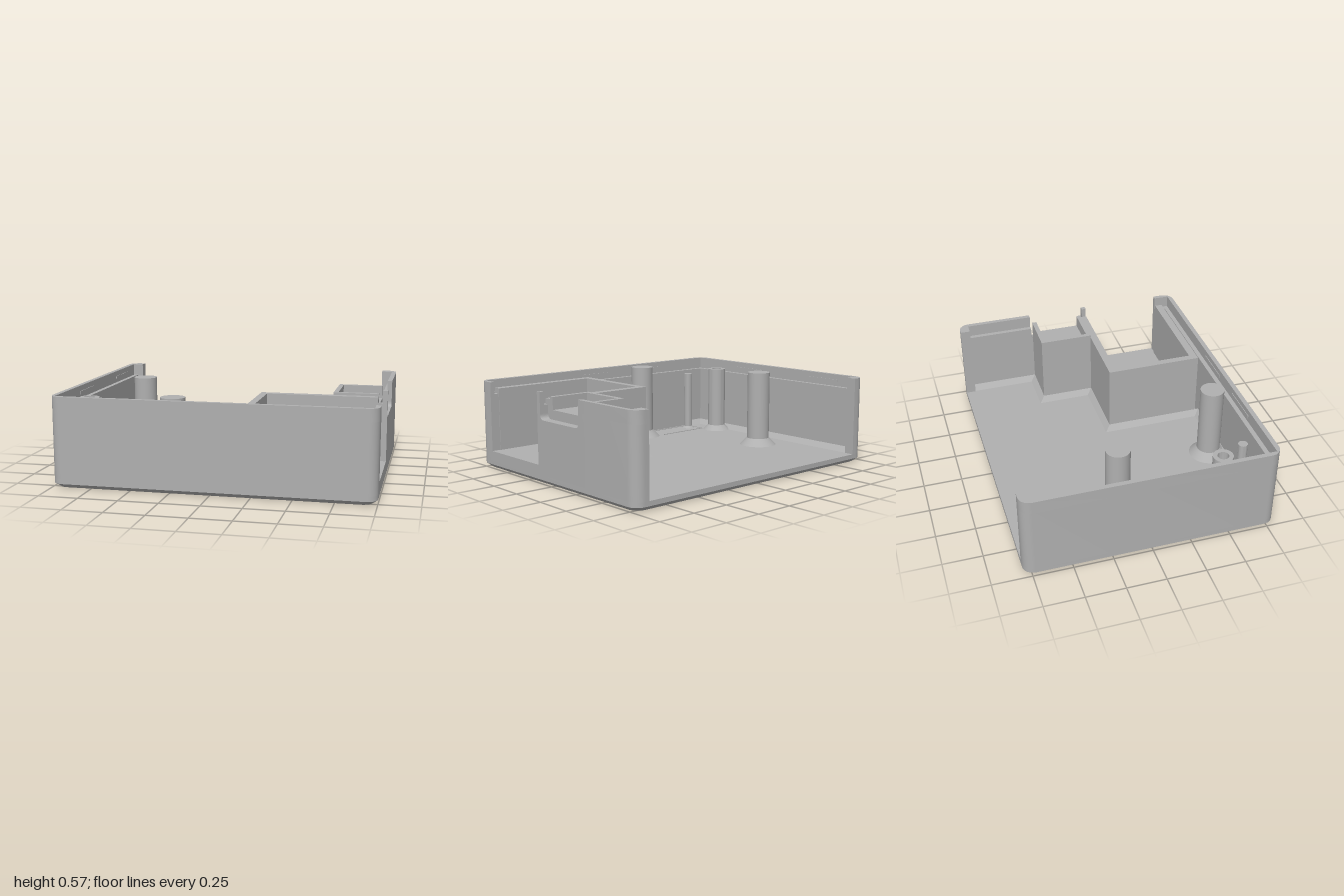
import * as THREE from 'three';
import { toCreasedNormals } from 'three/addons/utils/BufferGeometryUtils.js';

const FLOOR = 0.055, LEDGE = 0.49, TOP = 0.57;
const LIP = 0.03, WALL = 0.06, R = 0.07, CHAMFER = 0.035;

export function createModel() {
  const group = new THREE.Group();
  const plastic = new THREE.MeshStandardMaterial({ color: 0xb0b0b0, side: THREE.DoubleSide });
  plastic.name = 'grey plastic';

  const add = (name, geometry) => {
    const mesh = new THREE.Mesh(geometry, plastic);
    mesh.name = name;
    group.add(mesh);
    return mesh;
  };
  const box = (name, x0, x1, y0, y1, z0, z1) =>
    add(name, new THREE.BoxGeometry(x1 - x0, y1 - y0, z1 - z0))
      .position.set((x0 + x1) / 2, (y0 + y1) / 2, (z0 + z1) / 2);

  // Plan outline from [x, z] points; a third value rounds that corner
  const outline = (points, Type = THREE.Shape) => {
    const shape = new Type();
    const n = points.length;
    points.forEach(([x, z, r], i) => {
      const p = new THREE.Vector2(x, -z);
      const toward = ([a, b]) => new THREE.Vector2(a, -b).sub(p).normalize().multiplyScalar(r || 0).add(p);
      const a = toward(points[(i + n - 1) % n]), b = toward(points[(i + 1) % n]);
      if (i === 0) shape.moveTo(a.x, a.y); else shape.lineTo(a.x, a.y);
      if (r) {
        // Circular arc sampled about the corner's centre
        const c = a.clone().add(b).sub(p);
        for (let k = 1; k <= 8; k++) {
          const t = (k / 8) * Math.PI / 2;
          const q = c.clone().addScaledVector(a.clone().sub(c), Math.cos(t)).addScaledVector(b.clone().sub(c), Math.sin(t));
          shape.lineTo(q.x, q.y);
        }
      }
    });
    shape.closePath();
    return shape;
  };
  const slab = (shape, y0, y1) =>
    new THREE.ExtrudeGeometry(shape, { depth: y1 - y0, bevelEnabled: false, curveSegments: 10 })
      .rotateX(-Math.PI / 2).translate(0, y0, 0);

  // Floor with chamfered underside, button slot and screw holes
  const base = outline([[-1, -0.8, R], [-1, 0.8, R], [1, 0.8, R], [1, -0.8, R]]);
  base.holes.push(outline([[-0.8, 0.555], [-0.4, 0.555], [-0.4, 0.573], [-0.785, 0.573],
    [-0.785, 0.713], [-0.4, 0.713], [-0.4, 0.73], [-0.8, 0.73]], THREE.Path));
  for (const [x, z, r] of [[-0.86, 0.475, 0.035], [-0.735, 0.66, 0.02]]) {
    base.holes.push(new THREE.Path().absarc(x, -z, r, 0, Math.PI * 2, true));
  }
  const lower = slab(base, 0, 0.025);
  const pos = lower.attributes.position;
  for (let i = 0; i < pos.count; i++) {
    const x = pos.getX(i), z = pos.getZ(i);
    if (pos.getY(i) < 0.01 && (Math.abs(x) > 0.92 || Math.abs(z) > 0.74)) {
      pos.setX(i, x * 0.972);
      pos.setZ(i, z * 0.965);
    }
  }
  add('floorChamfer', toCreasedNormals(lower, 0.5));
  add('floor', toCreasedNormals(slab(base, 0.025, FLOOR), 0.5));

  // Walls: thick below the ledge, thin lip above it
  for (const [label, t, y0, y1] of [['Wall', WALL, FLOOR, LEDGE], ['Lip', LIP, LEDGE, TOP]]) {
    add('frontAndRight' + label, toCreasedNormals(slab(outline([
      [-0.9, -0.8], [-1, -0.8, R], [-1, 0.8, R], [1, 0.8, R], [1, 0.67], [1 - t, 0.67],
      [1 - t, 0.8 - t], [-1 + t, 0.8 - t], [-1 + t, -0.735], [-0.9, -0.735]]), y0, y1), 0.5));
    add('leftBack' + label, toCreasedNormals(slab(outline([
      [0.9, -0.8], [1, -0.8, R], [1, -0.285], [1 - t, -0.285], [1 - t, -0.735], [0.9, -0.735]]), y0, y1), 0.5));
  }

  // Left wall section with the round-cornered connector port
  const portWall = (top, x0, x1) => {
    const s = new THREE.Shape();
    s.moveTo(-0.135, FLOOR);
    s.lineTo(-0.135, top);
    s.lineTo(-0.105, top);
    s.lineTo(-0.105, 0.435);
    s.quadraticCurveTo(-0.105, 0.4, -0.07, 0.4);
    s.lineTo(0.25, 0.4);
    s.quadraticCurveTo(0.285, 0.4, 0.285, 0.435);
    s.lineTo(0.285, FLOOR);
    s.closePath();
    add('connectorPortWall', new THREE.ExtrudeGeometry(s, { depth: x1 - x0, bevelEnabled: false })
      .rotateY(Math.PI / 2).translate(x0, 0, 0));
  };
  portWall(TOP, 1 - LIP, 1);
  portWall(LEDGE, 1 - WALL, 1 - LIP);

  // Snap strips on the inner face of the lip
  for (const z of [0.235, -0.465]) box('sideSnapStrip', -0.971, -0.966, 0.515, 0.535, z - 0.13, z + 0.13);
  for (const x of [0.05, -0.42]) box('frontSnapStrip', x - 0.13, x + 0.13, 0.515, 0.535, 0.766, 0.771);

  // Large compartment, open to the left side
  box('compartmentFloor', 0.18, 1, FLOOR, 0.115, 0.08, 0.715);
  box('compartmentSill', 0.94, 1, FLOOR, 0.115, 0.135, 0.67);
  box('compartmentInnerWall', 0.18, 0.225, FLOOR, 0.525, 0.08, 0.715);
  box('compartmentBackWall', 0.18, 0.94, FLOOR, 0.525, 0.08, 0.13);
  box('compartmentFrontWall', 0.18, 0.94, FLOOR, 0.525, 0.665, 0.715);

  // Connector tray: solid block with a raised rim
  box('trayBlock', 0.65, 0.94, FLOOR, 0.46, -0.275, 0.08);
  box('trayInnerRim', 0.65, 0.68, 0.46, 0.54, -0.275, 0.08);
  box('trayBackRim', 0.65, 0.94, 0.46, 0.54, -0.275, -0.245);
  box('trayFrontRim', 0.65, 0.94, 0.46, 0.54, 0.055, 0.085);

  // Sloped skirts where walls meet the floor
  const skirt = (name, inner, outer) => {
    const v = [], idx = [];
    for (let i = 0; i < inner.length - 1; i++) {
      const k = v.length / 3;
      for (const j of [i, i + 1]) {
        v.push(inner[j][0], FLOOR + CHAMFER, inner[j][1], outer[j][0], FLOOR, outer[j][1]);
      }
      const [ax, az] = inner[i], [bx, bz] = inner[i + 1], [ox, oz] = outer[i];
      const up = (oz - az) * (bx - ax) - (ox - ax) * (bz - az) < 0;
      idx.push(...(up ? [k, k + 2, k + 1, k + 1, k + 2, k + 3] : [k, k + 1, k + 2, k + 1, k + 3, k + 2]));
    }
    const g = new THREE.BufferGeometry();
    g.setAttribute('position', new THREE.Float32BufferAttribute(v, 3));
    g.setIndex(idx);
    g.computeVertexNormals();
    add(name, g);
  };
  skirt('compartmentSkirt',
    [[0.94, -0.275], [0.65, -0.275], [0.65, 0.08], [0.18, 0.08], [0.18, 0.74]],
    [[0.94, -0.31], [0.615, -0.31], [0.615, 0.045], [0.145, 0.045], [0.145, 0.74]]);
  skirt('rightWallSkirt', [[-0.94, -0.735], [-0.94, 0.74], [-0.8, 0.74]],
    [[-0.905, -0.735], [-0.905, 0.705], [-0.8, 0.705]]);
  skirt('frontWallSkirt', [[-0.4, 0.74], [0.18, 0.74]], [[-0.4, 0.705], [0.18, 0.705]]);
  skirt('leftWallSkirt', [[0.94, -0.275], [0.94, -0.735]], [[0.905, -0.275], [0.905, -0.735]]);

  // Round posts with flared feet
  const post = (name, x, z, r, foot, top, bore) => {
    const profile = [[foot, FLOOR], [r, FLOOR + foot - r], [r, top], [bore, top]];
    if (bore) profile.push([bore, FLOOR]);
    const g = new THREE.LatheGeometry(profile.map(([a, b]) => new THREE.Vector2(a, b)), 40);
    add(name, toCreasedNormals(g, 0.5)).position.set(x, 0, z);
  };
  post('backPost', -0.68, -0.13, 0.077, 0.126, 0.568, 0);
  post('frontPost', -0.26, 0.642, 0.077, 0.126, 0.568, 0);
  post('screwBoss', -0.86, 0.475, 0.063, 0.1, 0.52, 0.035);
  post('buttonPin', -0.735, 0.66, 0.03, 0.045, 0.475, 0);

  return group;
}
